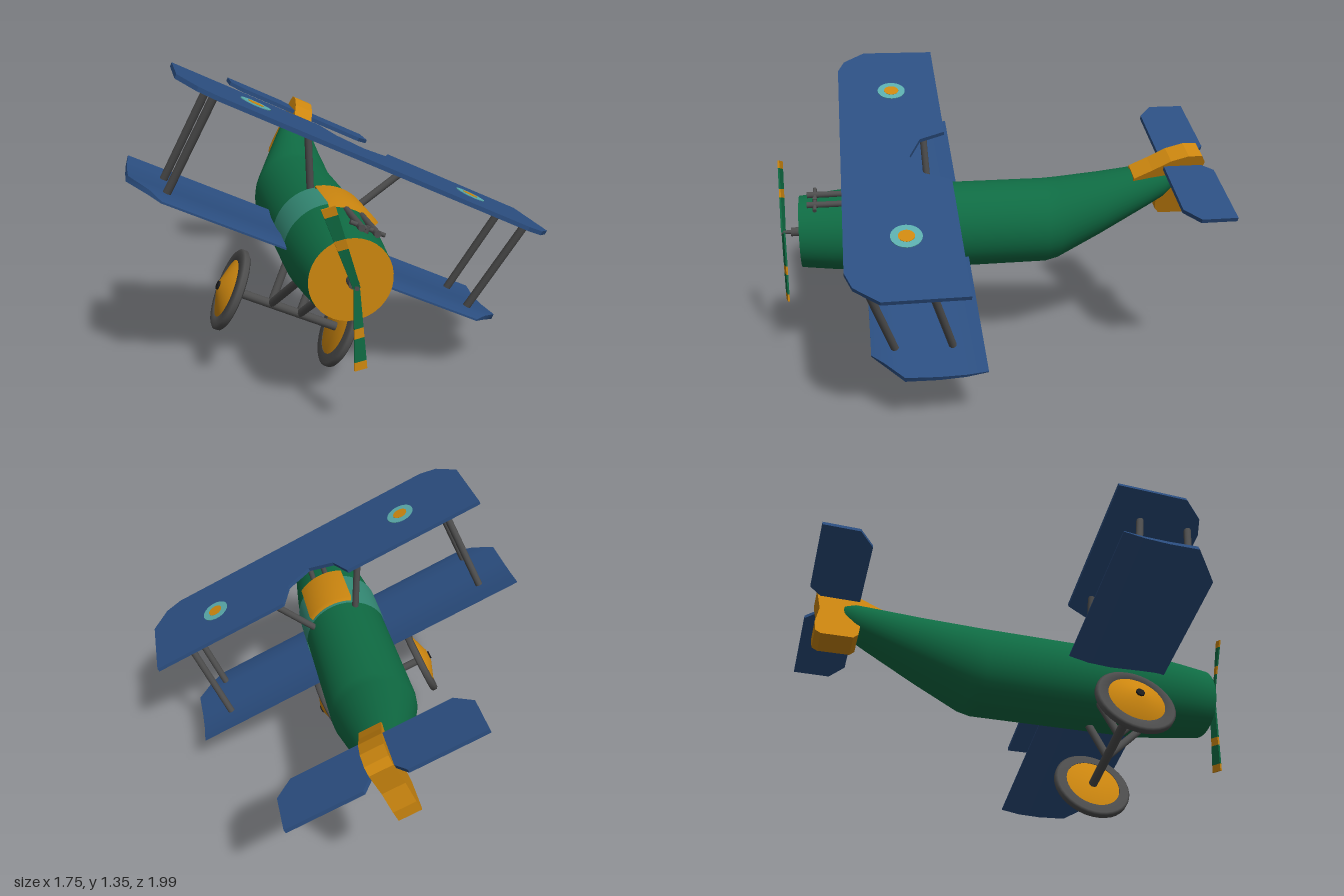
import * as THREE from 'three';

const mat = (name, color, side = THREE.FrontSide) => {
  const m = new THREE.MeshStandardMaterial({ color, side });
  m.name = name;
  return m;
};

export function createModel() {
  const green = mat('fuselage green', 0x0f6b43);
  const blue = mat('wing blue', 0x2b4e80);
  const yellow = mat('ochre yellow', 0xcc860f, THREE.DoubleSide);
  const grey = mat('strut grey', 0x4d4d4d);
  const teal = mat('panel teal', 0x348a75, THREE.DoubleSide);
  const aqua = mat('roundel aqua', 0x5aabab);
  const black = mat('hub black', 0x1c1c1c);

  const model = new THREE.Group();
  model.name = 'biplane';
  // the aircraft banks about the propeller axis
  const plane = new THREE.Group();
  plane.name = 'bankedAircraft';
  plane.position.set(-0.07, 0.62, 0);
  plane.rotation.z = THREE.MathUtils.degToRad(-25);
  model.add(plane);

  const add = (name, geo, material, parent = plane) => {
    const m = new THREE.Mesh(geo, material);
    m.name = name;
    parent.add(m);
    return m;
  };
  // round rod between two points
  const rod = (name, a, b, r, material = grey) => {
    const p = new THREE.Vector3(...a), q = new THREE.Vector3(...b);
    const d = q.clone().sub(p);
    const m = add(name, new THREE.CylinderGeometry(r, r, d.length(), 12), material);
    m.position.copy(p).add(q).multiplyScalar(0.5);
    m.quaternion.setFromUnitVectors(new THREE.Vector3(0, 1, 0), d.normalize());
    return m;
  };
  // tube through [z, centre height, radius] rows, front to back; arc is centred on the top
  const loft = (rows, arc = Math.PI * 2, grow = 0) => {
    const n = rows.length - 1;
    const g = new THREE.CylinderGeometry(1, 1, 1, 36, n, true, Math.PI - arc / 2, arc).rotateX(Math.PI / 2);
    const p = g.attributes.position;
    for (let i = 0; i < p.count; i++) {
      const [z, v, r] = rows[Math.round((0.5 - p.getZ(i)) * n)];
      p.setXYZ(i, p.getX(i) * (r + grow), p.getY(i) * (r + grow) + v, z);
    }
    g.computeVertexNormals();
    return g;
  };
  // flat plate from an outline of [x, z] points
  const plate = (pts, thick) => {
    const s = new THREE.Shape(pts.map(([x, z]) => new THREE.Vector2(x, -z)));
    return new THREE.ExtrudeGeometry(s, { depth: thick, bevelEnabled: false })
      .rotateX(-Math.PI / 2).translate(0, -thick / 2, 0);
  };

  // fuselage
  add('fuselage', loft([
    [0.9, 0, 0.165], [0.75, 0, 0.183], [0.58, 0, 0.2], [0.33, 0, 0.2], [0, 0, 0.2], [-0.24, 0, 0.2],
    [-0.3, 0.012, 0.194], [-0.5, 0.092, 0.15], [-0.72, 0.19, 0.1], [-0.79, 0.222, 0.083],
    [-0.84, 0.245, 0.055], [-0.86, 0.255, 0.002],
  ]), green);
  add('noseDisc', new THREE.CircleGeometry(0.165, 36), yellow).position.z = 0.9;
  add('cockpitPanel', loft([[0.58, 0, 0.2], [0.33, 0, 0.2]], 3.5, 0.004), teal);
  add('cockpitHood', loft([[0.62, 0, 0.2], [0.61, 0, 0.22], [0.36, 0, 0.22], [0.345, 0, 0.2]], 1.1), yellow);

  // upper wing with a notch over the cockpit
  const half = [[0, 0.4], [0.12, 0.345], [0.17, 0.23], [0.85, 0.23], [0.85, 0.57], [0.77, 0.67], [0.69, 0.7]];
  const mirror = half.slice(1).reverse().map(([x, z]) => [-x, z]);
  add('upperWing', plate([...half, ...mirror].reverse(), 0.018), blue).position.y = 0.41;

  // lower wing, cambered along the chord: rows of [z, half span, height, thickness]
  const ribs = [[0.14, 0.86, -0.03, 0.006], [0.23, 0.86, -0.046, 0.014], [0.34, 0.86, -0.05, 0.02],
    [0.48, 0.86, -0.042, 0.024], [0.56, 0.775, -0.042, 0.02], [0.61, 0.72, -0.05, 0.008]];
  const lower = new THREE.BoxGeometry(2, 1, 1, 1, 1, ribs.length - 1);
  const lp = lower.attributes.position;
  for (let i = 0; i < lp.count; i++) {
    const [z, span, v, t] = ribs[Math.round((lp.getZ(i) + 0.5) * (ribs.length - 1))];
    lp.setXYZ(i, lp.getX(i) * span, lp.getY(i) * t + v, z);
  }
  lower.computeVertexNormals();
  add('lowerWing', lower, blue);

  // fin and rudder
  const finPts = [[0.63, 0.2], [0.64, 0.275], [0.72, 0.32], [0.8, 0.37], [0.88, 0.396], [0.945, 0.394],
    [0.965, 0.36], [0.95, 0.23], [0.968, 0.13], [0.965, 0.07], [0.94, 0.052], [0.8, 0.055],
    [0.778, 0.08], [0.77, 0.14], [0.76, 0.2]];
  const fin = new THREE.Shape(finPts.map(([a, b]) => new THREE.Vector2(a, b)));
  add('finAndRudder', new THREE.ExtrudeGeometry(fin, { depth: 0.1, bevelEnabled: false })
    .translate(0, 0, -0.05).rotateY(Math.PI / 2), yellow);

  for (const s of [1, -1]) {
    const side = s > 0 ? 'left' : 'right';

    // tailplane half
    const tail = [[0.04, -0.77], [0.35, -0.77], [0.42, -0.835], [0.42, -1], [0.09, -1], [0.05, -0.95]]
      .map(([x, z]) => [s * x, z]);
    add(side + 'Tailplane', plate(tail, 0.02), blue).position.y = 0.332;

    // roundel on the upper wing
    [[0.065, aqua, 0.42], [0.034, yellow, 0.4215]].forEach(([r, m, y], i) => {
      const d = add(side + (i ? 'RoundelCentre' : 'RoundelRing'), new THREE.CylinderGeometry(r, r, 0.004, 28), m);
      d.position.set(s * 0.508, y, 0.45);
    });

    // wing struts
    rod(side + 'FrontWingStrut', [s * 0.7, 0.405, 0.64], [s * 0.7, -0.04, 0.51], 0.017);
    rod(side + 'RearWingStrut', [s * 0.7, 0.405, 0.395], [s * 0.7, -0.04, 0.27], 0.017);
    rod(side + 'CabaneStrut', [s * 0.242, 0.405, 0.325], [s * 0.1, 0.135, 0.305], 0.016);

    // undercarriage legs
    rod(side + 'RearLeg', [s * 0.07, -0.37, 0.35], [s * 0.07, -0.17, 0.3], 0.018);
    rod(side + 'FrontLeg', [s * 0.07, -0.37, 0.35], [s * 0.07, -0.17, 0.56], 0.018);

    // wheel: tyre, coned cover and hub, turned about x
    const wheel = new THREE.Group();
    wheel.name = side + 'Wheel';
    wheel.position.set(s * 0.265, -0.37, 0.35);
    wheel.rotation.z = -s * Math.PI / 2;
    plane.add(wheel);
    const tyre = [[0.128, -0.018], [0.17, -0.018], [0.18, -0.01], [0.18, 0.01], [0.17, 0.018], [0.128, 0.018], [0.128, -0.018]];
    add('tyre', new THREE.LatheGeometry(tyre.map(p => new THREE.Vector2(...p)), 36), grey, wheel);
    const cover = [[0, -0.016], [0.13, -0.016], [0.13, 0.016], [0.03, 0.052], [0, 0.052]];
    add('wheelCover', new THREE.LatheGeometry(cover.map(p => new THREE.Vector2(...p)), 36), yellow, wheel);
    add('hub', new THREE.CylinderGeometry(0.02, 0.02, 0.012, 8), black, wheel).position.y = 0.054;

    // nose gun
    rod(side + 'Gun', [s * 0.034, 0.19, 0.6], [s * 0.034, 0.19, 0.86], 0.014);
  }
  rod('axle', [-0.265, -0.37, 0.35], [0.265, -0.37, 0.35], 0.02);
  rod('gunMount', [-0.075, 0.19, 0.825], [0.075, 0.19, 0.825], 0.009);
  rod('gunPost', [0, 0.16, 0.825], [0, 0.2, 0.825], 0.01);

  // propeller shaft and hub
  rod('shaft', [0, 0, 0.89], [0, 0, 0.945], 0.021);
  rod('shaftTip', [0, 0, 0.94], [0, 0, 0.988], 0.009);

  // propeller blades: coloured lengths of a widening, slightly twisted plank
  const bands = [[0, 0.16, green], [0.16, 0.2, yellow], [0.2, 0.295, green], [0.295, 0.33, yellow]];
  for (const [name, angle] of [['upperBlade', 44], ['lowerBlade', 208.5]]) {
    const blade = new THREE.Group();
    blade.name = name;
    blade.position.z = 0.98;
    blade.rotation.z = THREE.MathUtils.degToRad(angle);
    plane.add(blade);
    for (const [a, b, m] of bands) {
      const g = new THREE.BoxGeometry(1, b - a, 0.008).translate(0, (a + b) / 2, 0);
      const p = g.attributes.position;
      for (let i = 0; i < p.count; i++) {
        const w = 0.026 + 0.08 * p.getY(i);
        p.setZ(i, p.getZ(i) + p.getX(i) * 0.012);
        p.setX(i, p.getX(i) * w);
      }
      g.computeVertexNormals();
      add('bladeBand', g, m, blade);
    }
  }
  return model;
}
